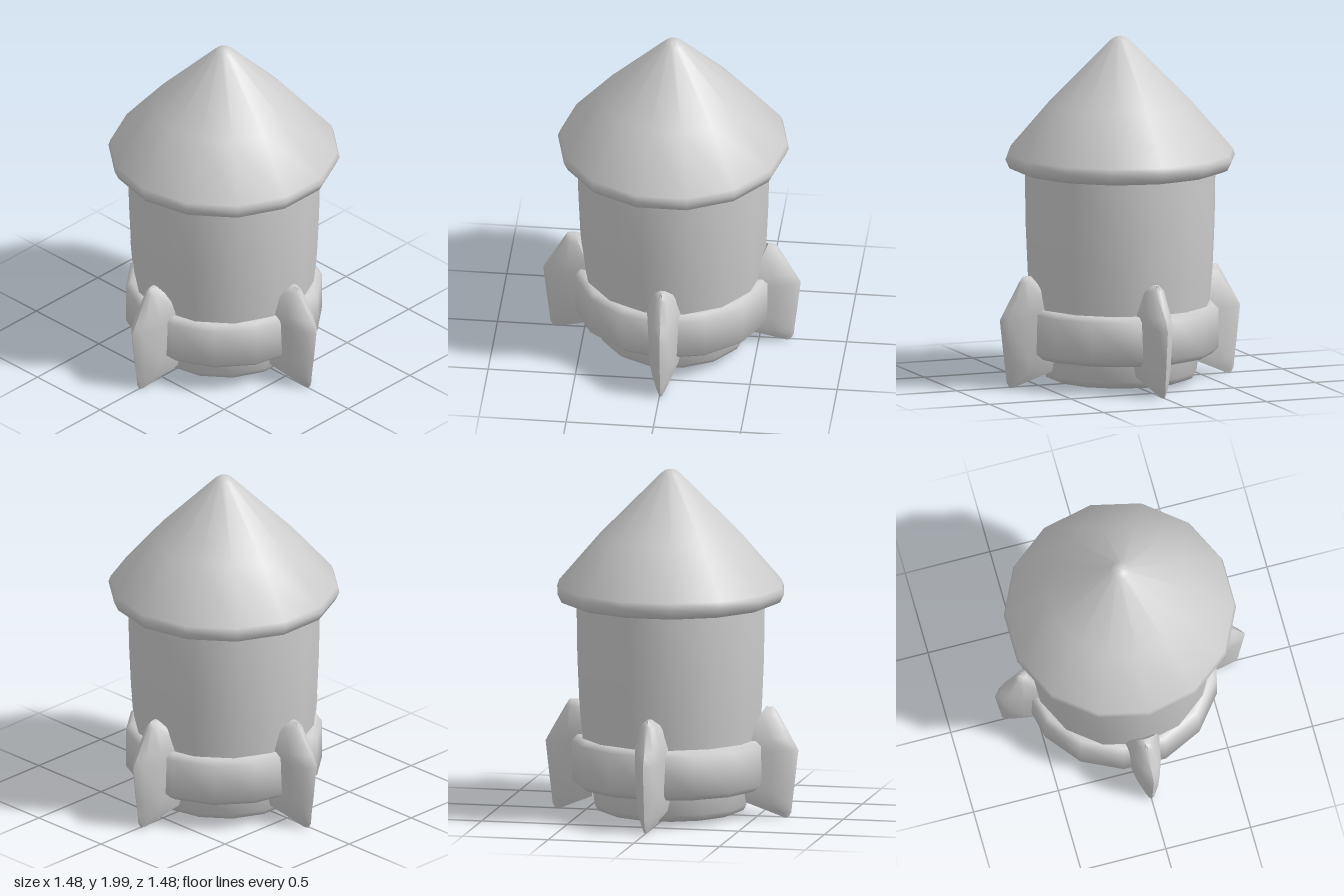
import * as THREE from 'three';
import { toCreasedNormals } from 'three/addons/utils/BufferGeometryUtils.js';

const SIDES = 14;

// Turned part from [radius, y] points, listed bottom to top
function turned(name, points, material, start) {
  const profile = points.map(([r, y]) => new THREE.Vector2(r, y));
  const geometry = new THREE.LatheGeometry(profile, SIDES, start);
  const mesh = new THREE.Mesh(toCreasedNormals(geometry, 0.95), material);
  mesh.name = name;
  mesh.position.x = 0.008;
  return mesh;
}

// Fin pointing along +x, lofted through tapered sections
function finGeometry() {
  // [y, inner reach, outer reach, half width]
  const levels = [
    [0.01, 0.655, 0.68, 0.012],
    [0.04, 0.59, 0.697, 0.035],
    [0.1, 0.45, 0.703, 0.08],
    [0.18, 0.44, 0.713, 0.095],
    [0.4, 0.44, 0.738, 0.104],
    [0.47, 0.46, 0.7, 0.104],
    [0.61, 0.53, 0.62, 0.055],
    [0.645, 0.55, 0.598, 0.012],
  ];
  // Half section: [fraction of reach, fraction of width]
  const section = [[0, 1], [0.55, 0.74], [0.88, 0.42], [1, 0], [0.88, -0.42], [0.55, -0.74], [0, -1]];
  const n = section.length;
  const positions = [];
  const index = [];
  for (const [y, inner, outer, width] of levels) {
    for (const [s, w] of section) positions.push(inner + (outer - inner) * s, y, w * width);
  }
  for (let j = 0; j < levels.length - 1; j++) {
    for (let i = 0; i < n; i++) {
      const a = j * n + i;
      const b = j * n + (i + 1) % n;
      index.push(a, b, a + n, b, b + n, a + n);
    }
  }
  const top = (levels.length - 1) * n;
  for (let i = 1; i < n - 1; i++) {
    index.push(0, i + 1, i);
    index.push(top, top + i, top + i + 1);
  }
  const geometry = new THREE.BufferGeometry();
  geometry.setAttribute('position', new THREE.Float32BufferAttribute(positions, 3));
  geometry.setIndex(index);
  return toCreasedNormals(geometry, 1.0);
}

export function createModel() {
  const model = new THREE.Group();
  model.name = 'rocket';
  const grey = new THREE.MeshStandardMaterial({ color: 0xcccccc });
  grey.name = 'light grey';

  // Pointed roof with a rounded rim
  model.add(turned('noseCone', [
    [0, 1.235], [0.6, 1.235], [0.638, 1.25], [0.662, 1.3], [0.65, 1.335],
    [0.41, 1.615], [0.055, 1.975], [0.03, 1.993], [0, 2],
  ], grey, Math.PI / 2));

  // Slightly flared hull
  model.add(turned('hull', [
    [0.5, 0.3], [0.515, 0.46], [0.533, 0.65], [0.545, 0.92], [0.55, 1.25],
  ], grey, Math.PI / 2));

  // Bevelled band around the lower hull
  model.add(turned('band', [
    [0.44, 0.172], [0.525, 0.172], [0.562, 0.205], [0.562, 0.43], [0.533, 0.46], [0.49, 0.46],
  ], grey, 0));

  // Engine skirt with rounded lower lip
  model.add(turned('engineSkirt', [
    [0.31, 0.025], [0.385, 0.025], [0.425, 0.04], [0.442, 0.07], [0.46, 0.18],
  ], grey, Math.PI / 2));

  // Flat engine outlet
  const outlet = new THREE.Mesh(new THREE.CircleGeometry(0.312, SIDES), grey);
  outlet.name = 'engineOutlet';
  outlet.rotation.x = Math.PI / 2;
  outlet.position.set(0.008, 0.025, 0);
  model.add(outlet);

  // Four fins
  const fin = finGeometry();
  ['leftFin', 'backFin', 'rightFin', 'frontFin'].forEach((name, i) => {
    const mesh = new THREE.Mesh(fin, grey);
    mesh.name = name;
    mesh.rotation.y = i * Math.PI / 2;
    if (i % 2) mesh.position.x = 0.006;
    model.add(mesh);
  });

  return model;
}
